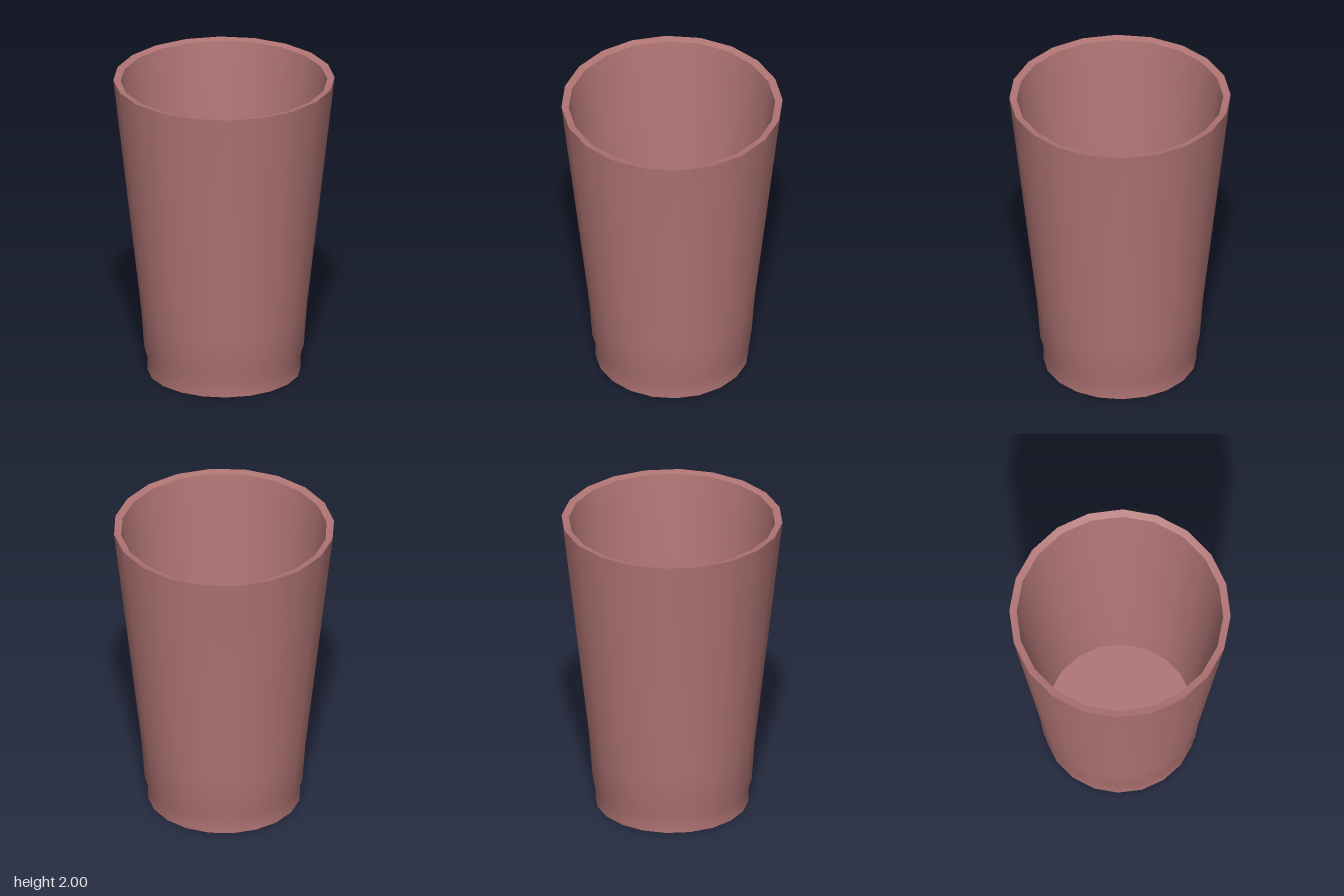
import * as THREE from 'three';
import { toCreasedNormals } from 'three/addons/utils/BufferGeometryUtils.js';

const SIDES = 20;

// Revolve [radius, height] pairs; smooth around the wall, sharp at rim and base
function lathe(name, profile, material) {
  const points = profile.map(([r, y]) => new THREE.Vector2(r, y));
  const geometry = toCreasedNormals(new THREE.LatheGeometry(points, SIDES), Math.PI / 5);
  const mesh = new THREE.Mesh(geometry, material);
  mesh.name = name;
  return mesh;
}

export function createModel() {
  const group = new THREE.Group();
  group.name = 'cup';
  const material = new THREE.MeshStandardMaterial({ color: 0xb27575 });

  // Underside, recessed foot, shoulder and flared wall
  group.add(lathe('outerWall', [
    [0, 0], [0.49, 0], [0.49, 0.09], [0.51, 0.16], [0.53, 0.43], [0.707, 2],
  ], material));

  // Flat lip
  group.add(lathe('rim', [[0.707, 2], [0.66, 1.99]], material));

  // Inside wall running down to the floor
  group.add(lathe('innerWall', [
    [0.66, 1.99], [0.487, 0.43], [0.47, 0.13], [0, 0.13],
  ], material));

  return group;
}
